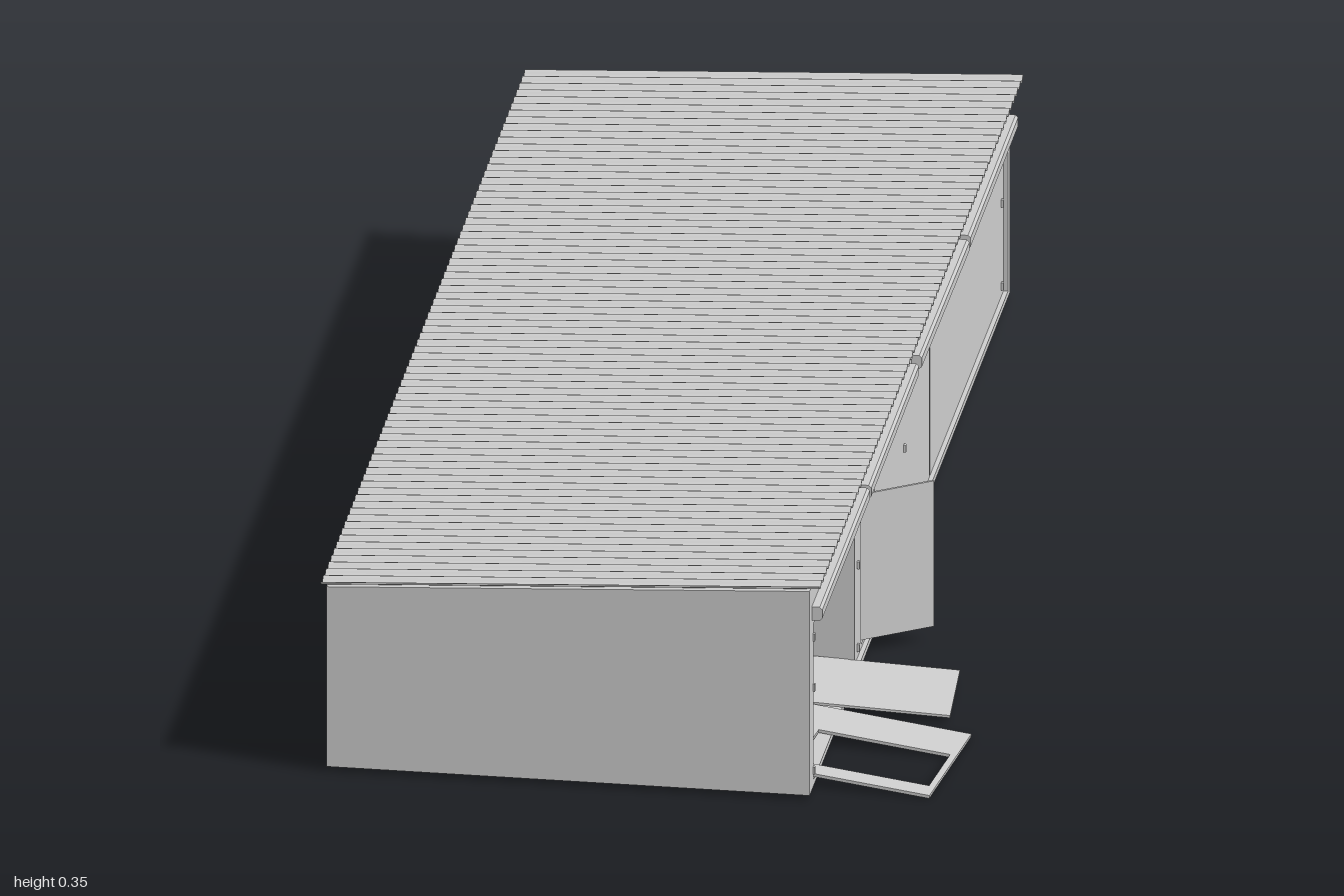
import * as THREE from 'three';

export function createModel() {
  const model = new THREE.Group();
  const grey = new THREE.MeshStandardMaterial({ color: 0xcccccc });
  const FRONT = 0.997, BACK = -0.967, LEFT = 0.267, RIGHT = -0.467, BASE = 0.008;

  function add(name, geometry, x = 0, y = 0, z = 0, parent = model) {
    const mesh = new THREE.Mesh(geometry, grey);
    mesh.name = name;
    mesh.position.set(x, y, z);
    parent.add(mesh);
    return mesh;
  }
  const box = (name, w, h, d, x, y, z, parent) => add(name, new THREE.BoxGeometry(w, h, d), x, y, z, parent);
  const polygon = (points) => new THREE.Shape(points.map(([x, y]) => new THREE.Vector2(x, y)));
  const rect = (x0, y0, x1, y1) => polygon([[x0, y0], [x1, y0], [x1, y1], [x0, y1]]);
  const extrude = (shape, depth) => new THREE.ExtrudeGeometry(shape, { depth, bevelEnabled: false });

  // Upright plate in the z-y plane, extruded towards +x, with optional hole
  function sidePlate(name, x0, x1, [za, ya, zb, yb], hole) {
    const shape = rect(-za, ya, -zb, yb);
    if (hole) shape.holes.push(rect(-hole[0], hole[1], -hole[2], hole[3]));
    return add(name, extrude(shape, x1 - x0).rotateY(Math.PI / 2), x0);
  }

  // Cross wall following the sloping roof
  const roofAt = (x) => 0.3005 + (x + 0.475) * 0.0542;
  function crossWall(name, z, thickness, bottom, x0, x1) {
    const shape = polygon([[x0, bottom], [x1, bottom], [x1, roofAt(x1)], [x0, roofAt(x0)]]);
    add(name, extrude(shape, thickness), 0, 0, z - thickness / 2);
  }

  // Shell
  crossWall('frontEndWall', FRONT - 0.006, 0.012, BASE, RIGHT, LEFT);
  crossWall('backEndWall', BACK + 0.006, 0.012, BASE, RIGHT, LEFT);
  const length = FRONT - BACK, middle = (FRONT + BACK) / 2;
  box('rearWall', 0.012, 0.293, length - 0.002, RIGHT + 0.006, BASE + 0.1465, middle);

  // Four floor slabs with partitions over the seams
  const bay = length / 4;
  for (let i = 0; i < 4; i++) {
    const z = FRONT - bay * (i + 0.5);
    box('floorSlab', 0.72, 0.01, bay - 0.006, -0.1, BASE + 0.005, z);
    if (i > 0) crossWall('partition', FRONT - bay * i, 0.012, 0.014, RIGHT + 0.01, 0.25);
  }

  // Open side: surrounding frame with recessed cladding
  sidePlate('openSideFrame', 0.252, LEFT, [FRONT - 0.001, BASE, BACK + 0.001, 0.338], [0.957, 0.018, -0.947, 0.272]);
  const inner = [0.25, 0.26];
  sidePlate('doorwayPanel', ...inner, [0.513, 0.016, 0.016, 0.274], [0.447, 0.025, 0.314, 0.262]);
  sidePlate('bayDoor', ...inner, [0.0155, 0.016, -0.222, 0.274]);
  sidePlate('bayDoor', ...inner, [-0.227, 0.016, -0.477, 0.274]);
  sidePlate('endBayPanel', ...inner, [-0.4775, 0.016, -0.95, 0.274]);

  // Fixing plates
  for (const z of [0.953, 0.485, 0.03, -0.926]) {
    for (const y of [0.035, 0.17, 0.252]) {
      if (z === 0.953) box('fixing', 0.004, 0.012, 0.006, 0.268, y, 0.962);
      else box('fixing', 0.004, 0.012, 0.006, 0.262, y, z);
    }
  }

  // Roller rails, each hanging slightly out of level
  const tilts = [0, 0.008, -0.012, 0.004];
  [0.743, 0.263, -0.232, -0.71].forEach((z, i) => {
    const profile = polygon([[0, -0.011], [0.012, -0.011], [0.016, -0.007], [0.016, 0.007], [0.012, 0.011], [0, 0.011]]);
    const rail = add('rail', extrude(profile, 0.466).translate(0, 0, -0.233), LEFT, 0.296, z);
    rail.rotation.x = tilts[i];
  });

  // Corrugated roof sheet
  const ridges = 76, steps = 6, count = ridges * steps;
  const top = [], bottom = [];
  for (let i = 0; i <= count; i++) {
    const u = -1 + (2 * i) / count;
    const wave = 0.0027 * Math.cos((i / steps) * Math.PI * 2);
    top.push([u, wave + 0.0015]);
    bottom.unshift([u, wave - 0.0015]);
  }
  const slope = Math.atan2(0.041, 0.757), roofLength = Math.hypot(0.041, 0.757);
  const roof = add('corrugatedRoof',
    extrude(polygon([...bottom.reverse(), ...top.reverse()]), roofLength)
      .rotateY(Math.PI / 2).translate(-roofLength / 2, 0, 0), -0.0965, 0.3255, 0);
  roof.rotation.z = slope;

  // Hinged door standing ajar
  const ajar = box('openDoor', 0.15, 0.237, 0.004, 0.295, 0.1435, 0.404);
  ajar.rotation.y = Math.atan2(0.085, 0.122);

  // Fallen solid panel lying over the sill
  const fallen = box('fallenPanel', 0.26, 0.004, 0.176, 0.295, 0.022, 0.597);
  fallen.rotation.set(0, 0.07, -0.07, 'YXZ');

  // Fallen door with an open window
  const leaf = rect(-0.135, -0.123, 0.135, 0.123);
  leaf.holes.push(rect(-0.08, -0.088, 0.125, 0.036));
  const fallenFrame = add('fallenWindowDoor',
    extrude(leaf, 0.005).translate(0, 0, -0.0025).rotateX(-Math.PI / 2), 0.323, 0.0157, 0.828);
  fallenFrame.rotation.set(0, -0.105, -0.09, 'YXZ');

  return model;
}
